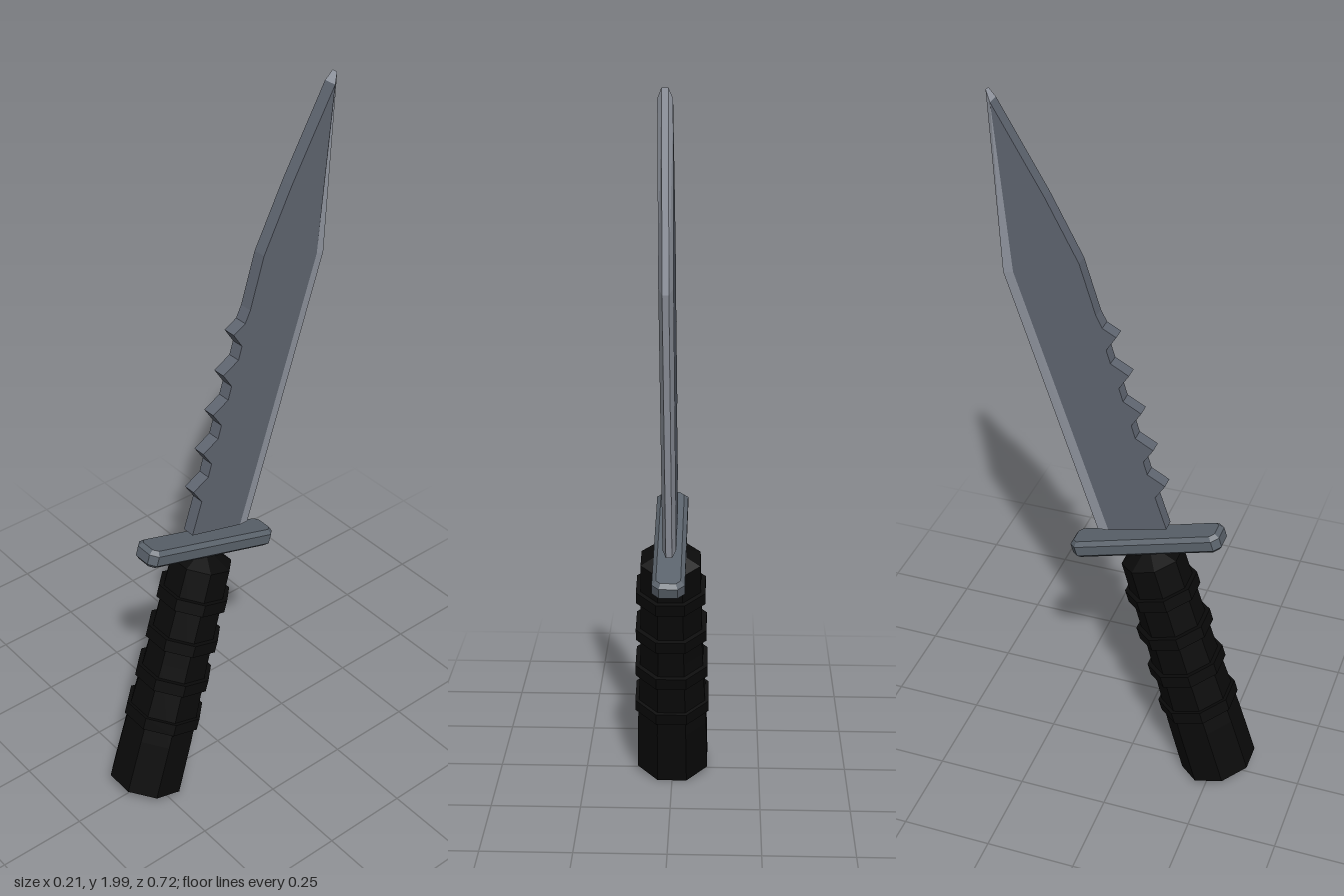
import * as THREE from 'three';

const material = (name, color, extra = {}) => {
  const m = new THREE.MeshStandardMaterial({ color, flatShading: true, ...extra });
  m.name = name;
  return m;
};

export function createModel() {
  const steel = material('blade steel', 0x5f6570);
  const edgeSteel = material('sharpened steel', 0x9ea3ae);
  const guardSteel = material('guard steel', 0x5b636c);
  const grip = material('black grip', 0x0a0a0a);

  const model = new THREE.Group();
  model.name = 'knife';
  const add = (parent, name, geometry, mat) => {
    const mesh = new THREE.Mesh(geometry, mat);
    mesh.name = name;
    parent.add(mesh);
    return mesh;
  };

  // Blade outline: first coordinate runs to the back (-z), second is height
  const halfThick = 0.018, halfEdge = 0.008;
  const inner = [[0.063, 0.79], [0.307, 1.532], [0.346, 1.972]];
  const outer = [[0.097, 0.78], [0.338, 1.521], [0.36, 1.998]];
  const outline = [...inner, [0.217, 1.749], [0.132, 1.585], [0.09, 1.447], [0.074, 1.415]];
  // Five saw teeth, from the highest down
  for (let i = 4; i >= 0; i--) {
    const x = -0.095 + i * 0.033, y = 0.971 + i * 0.106;
    outline.push([x, y], [x + 0.027, y - 0.042]);
    if (i > 0) outline.push([x + 0.016, y - 0.079]);
  }
  outline.push([-0.1, 0.833]);
  const bladeShape = new THREE.Shape(outline.map(([x, y]) => new THREE.Vector2(x, y)));
  const bladeGeo = new THREE.ExtrudeGeometry(bladeShape, { depth: 2 * halfThick, bevelEnabled: false });
  bladeGeo.translate(0, 0, -halfThick).rotateY(Math.PI / 2);
  add(model, 'blade', bladeGeo, steel);

  // Tapered cutting edge swept through three cross-sections
  const pos = [], index = [];
  inner.forEach(([ix, iy], i) => {
    const [ox, oy] = outer[i];
    pos.push(halfThick, iy, -ix, halfEdge, oy, -ox, -halfEdge, oy, -ox, -halfThick, iy, -ix);
  });
  for (let s = 0; s < 2; s++) {
    for (let k = 0; k < 4; k++) {
      const a = s * 4 + k, b = s * 4 + (k + 1) % 4;
      index.push(a, b, b + 4, a, b + 4, a + 4);
    }
  }
  index.push(0, 3, 2, 0, 2, 1, 8, 9, 10, 8, 10, 11);
  const edgeGeo = new THREE.BufferGeometry();
  edgeGeo.setAttribute('position', new THREE.Float32BufferAttribute(pos, 3));
  edgeGeo.setIndex(index);
  edgeGeo.computeVertexNormals();
  add(model, 'cuttingEdge', edgeGeo, edgeSteel);

  // Guard and handle share a frame leaning back, centred on the guard
  const hilt = new THREE.Group();
  hilt.name = 'hilt';
  hilt.position.set(0, 0.77, 0.042);
  hilt.rotation.x = -0.29;
  model.add(hilt);

  // Chamfered guard
  const w = 0.032, l = 0.207, c = 0.012;
  const guardShape = new THREE.Shape([
    [w, -l + c], [w, l - c], [w - c, l], [-w + c, l],
    [-w, l - c], [-w, -l + c], [-w + c, -l], [w - c, -l],
  ].map(([x, y]) => new THREE.Vector2(x, y)));
  const guardGeo = new THREE.ExtrudeGeometry(guardShape, {
    depth: 0.028, bevelEnabled: true, bevelSize: 0.011, bevelThickness: 0.011, bevelSegments: 1,
  });
  guardGeo.translate(0, 0, -0.014).rotateX(-Math.PI / 2);
  add(hilt, 'guard', guardGeo, guardSteel);

  // Eight-sided turning; radii are measured to the flats
  const octagon = (profile) => new THREE.LatheGeometry(
    profile.map(([r, y]) => new THREE.Vector2(r / Math.cos(Math.PI / 8), y)), 8, Math.PI / 8);
  add(hilt, 'handle', octagon([
    [0, -0.8], [0.1, -0.77], [0.097, -0.6], [0.086, -0.35], [0.08, -0.05], [0.02, -0.021], [0, -0.021],
  ]), grip);

  // Raised grip rings
  for (let i = 0; i < 4; i++) {
    const y = -0.155 - i * 0.127, r = 0.094 + i * 0.003;
    add(hilt, 'gripRing', octagon([
      [0.07, y - 0.018], [r, y - 0.018], [r, y + 0.018], [0.07, y + 0.018],
    ]), grip);
  }
  return model;
}
